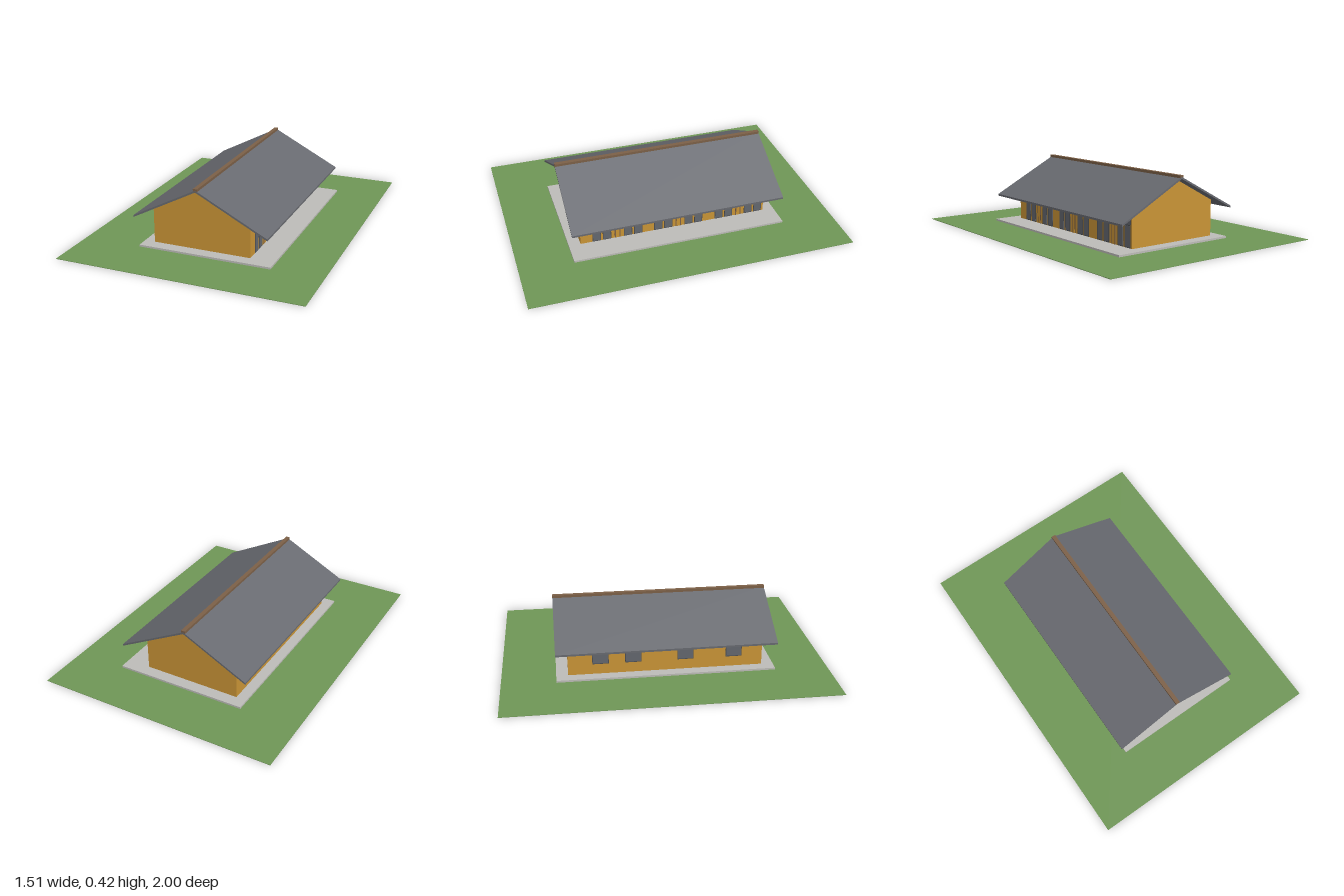
import * as THREE from 'three';

const mat = (name, color) => Object.assign(new THREE.MeshStandardMaterial({ color }), { name });

export function createModel() {
  const grass = mat('grass green', 0x6f9656);
  const concrete = mat('concrete grey', 0xbdbcb8);
  const ochre = mat('ochre wall', 0xc99436);
  const slate = mat('slate grey', 0x686a70);
  const wood = mat('brown wood', 0x7c6047);
  const glass = mat('dark glass', 0x63676e);
  const frame = mat('frame grey', 0x4c4e53);

  const house = new THREE.Group();
  house.name = 'house';

  const add = (parent, name, geometry, material) => {
    const mesh = new THREE.Mesh(geometry, material);
    mesh.name = name;
    parent.add(mesh);
    return mesh;
  };
  // Box given by its limits on each axis
  const box = (parent, name, material, x0, x1, y0, y1, z0, z1) => {
    const mesh = add(parent, name, new THREE.BoxGeometry(x1 - x0, y1 - y0, z1 - z0), material);
    mesh.position.set((x0 + x1) / 2, (y0 + y1) / 2, (z0 + z1) / 2);
    return mesh;
  };
  // Outline in x and y, extruded along z and centred
  const prism = (name, material, points, length) => {
    const shape = new THREE.Shape(points.map(([x, y]) => new THREE.Vector2(x, y)));
    const geometry = new THREE.ExtrudeGeometry(shape, { depth: length, bevelEnabled: false });
    return add(house, name, geometry.translate(0, 0, -length / 2), material);
  };

  // Site
  box(house, 'lawn', grass, -0.755, 0.755, 0, 0.003, -1, 1);
  box(house, 'slab', concrete, -0.39, 0.44, 0.003, 0.015, -0.67, 0.67);

  // Gabled body
  prism('walls', ochre, [[-0.325, 0.015], [0.29, 0.015], [0.29, 0.237], [-0.018, 0.398], [-0.325, 0.237]], 1.195);

  // Roof slopes, the right one reaching lower, and the ridge cap
  const ridgeX = -0.018, t = 0.012;
  prism('leftRoof', slate, [[-0.422, 0.188], [ridgeX, 0.398], [ridgeX, 0.398 + t], [-0.422, 0.188 + t]], 1.34);
  prism('rightRoof', slate, [[ridgeX, 0.398], [0.42, 0.171], [0.42, 0.171 + t], [ridgeX, 0.398 + t]], 1.34);
  box(house, 'ridgeCap', wood, -0.031, -0.005, 0.4, 0.419, -0.67, 0.67);

  // Framed window plates on a long wall; side is the outward direction along x
  const windowUnit = (name, wallX, side, z, width, y0, y1, transomY) => {
    const unit = new THREE.Group();
    unit.name = name;
    const plate = (part, material, depth, a, b, w) => {
      const outer = wallX + side * depth;
      box(unit, part, material, Math.min(wallX, outer), Math.max(wallX, outer), a, b, z - w / 2, z + w / 2);
    };
    plate('frame', frame, 0.002, y0, y1, width);
    plate('pane', glass, 0.003, y0 + 0.005, (transomY ?? y1) - 0.004, width - 0.008);
    if (transomY) plate('transomPane', glass, 0.003, transomY + 0.003, y1 - 0.004, width - 0.008);
    house.add(unit);
  };

  // Three right-hand bays: two tall windows on either side of a door
  for (const bayZ of [0.365, -0.027, -0.426]) {
    for (const dz of [0.131, 0.066, -0.067, -0.132]) {
      windowUnit('tallWindow', 0.29, 1, bayZ + dz, 0.053, 0.016, 0.185, 0.148);
    }
    box(house, 'doorFrame', wood, 0.29, 0.292, 0.015, 0.152, bayZ - 0.018, bayZ + 0.018);
    box(house, 'doorLeaf', ochre, 0.29, 0.293, 0.016, 0.146, bayZ - 0.011, bayZ + 0.011);
  }

  // Small windows on the left wall
  for (const z of [-0.4, -0.2, 0.12, 0.42]) {
    windowUnit('smallWindow', -0.325, -1, z, 0.1, 0.08, 0.165);
  }

  return house;
}
